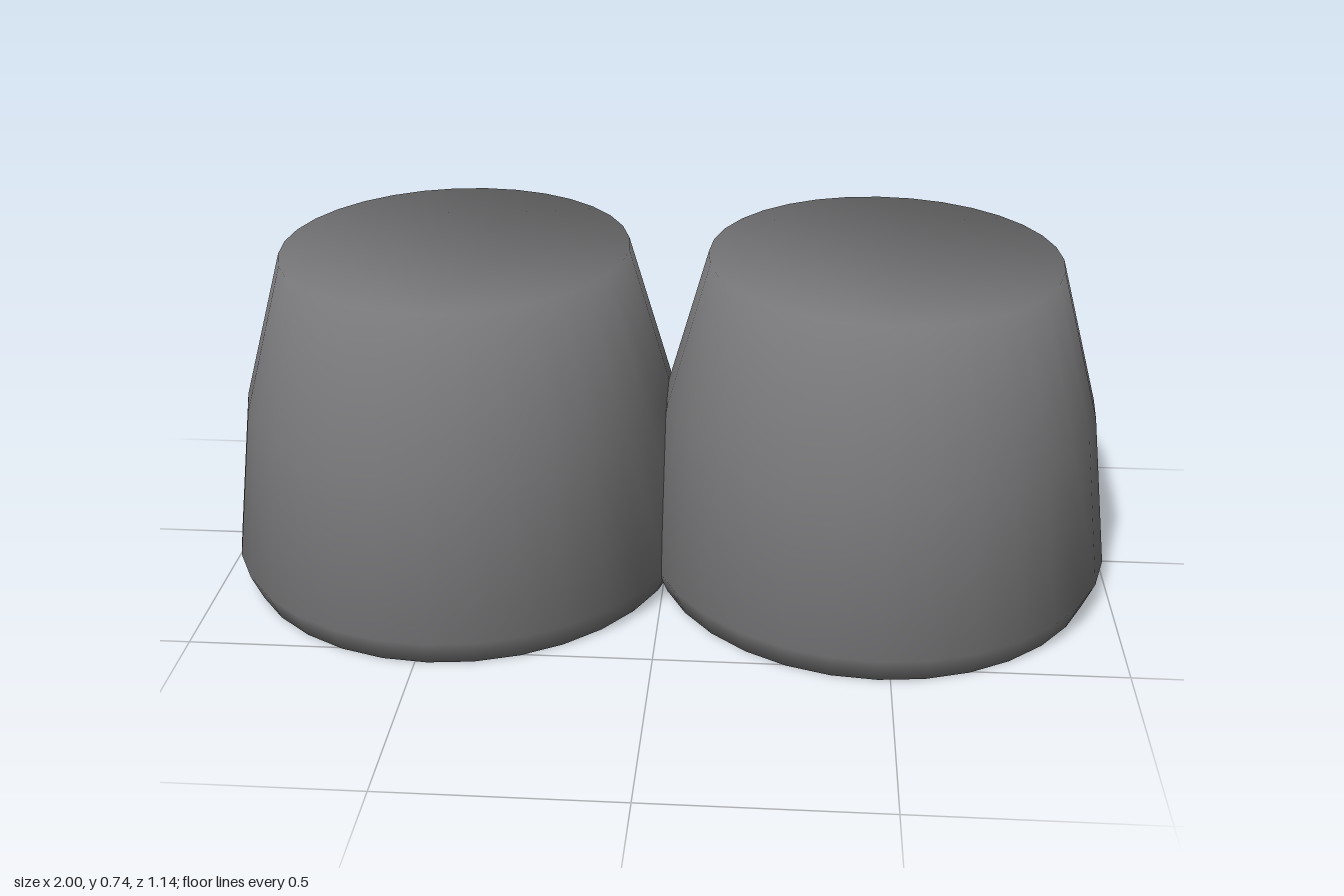
import * as THREE from 'three';

const SEGMENTS = 32;
const SQUASH = 0.92; // the pads are slightly narrower in x than in z

// Outer shell: lathed wall, closed by a flat top that shares the rim's soft normals
function shellGeometry() {
  const profile = [[0.35, 0], [0.545, 0], [0.572, 0.06], [0.522, 0.41], [0.42, 0.74]]
    .map(([r, y]) => new THREE.Vector2(r, y));
  const count = profile.length;
  const geo = new THREE.LatheGeometry(profile, SEGMENTS);

  // Even averaging of neighbouring facet directions along the profile
  const facets = profile.slice(1).map((p, i) => {
    const d = p.clone().sub(profile[i]);
    return new THREE.Vector2(d.y, -d.x).normalize();
  });
  facets.push(new THREE.Vector2(0, 1));
  const soft = profile.map((_, i) =>
    facets[i].clone().add(facets[Math.max(i - 1, 0)]).normalize());
  const normal = geo.attributes.normal;
  for (let s = 0; s <= SEGMENTS; s++) {
    const a = (s / SEGMENTS) * Math.PI * 2;
    soft.forEach((n, i) =>
      normal.setXYZ(s * count + i, n.x * Math.sin(a), n.y, n.x * Math.cos(a)));
  }

  // Fan across the top rim
  const index = Array.from(geo.index.array);
  const rim = (s) => s * count + count - 1;
  for (let s = 1; s < SEGMENTS - 1; s++) index.push(rim(0), rim(s), rim(s + 1));
  geo.setIndex(index);
  return geo.scale(SQUASH, 1, 1);
}

// Hollow in the underside, facing inward
function socketGeometry() {
  const profile = [[0, 0.36], [0.34, 0.36], [0.35, 0]]
    .map(([r, y]) => new THREE.Vector2(r, y));
  return new THREE.LatheGeometry(profile, SEGMENTS).scale(SQUASH, 1, 1);
}

export function createModel() {
  const model = new THREE.Group();
  model.name = 'twinFeet';
  const rubber = new THREE.MeshStandardMaterial({ color: 0x767678 });
  rubber.name = 'grey rubber';

  const shell = shellGeometry();
  const socket = socketGeometry();

  // Two identical feet side by side, overlapping slightly in the middle
  for (const [side, sign] of [['left', 1], ['right', -1]]) {
    const foot = new THREE.Group();
    foot.name = side + 'Foot';
    foot.position.x = sign * 0.474;
    for (const [name, geo] of [['Shell', shell], ['Socket', socket]]) {
      const mesh = new THREE.Mesh(geo, rubber);
      mesh.name = side + name;
      foot.add(mesh);
    }
    model.add(foot);
  }
  return model;
}
